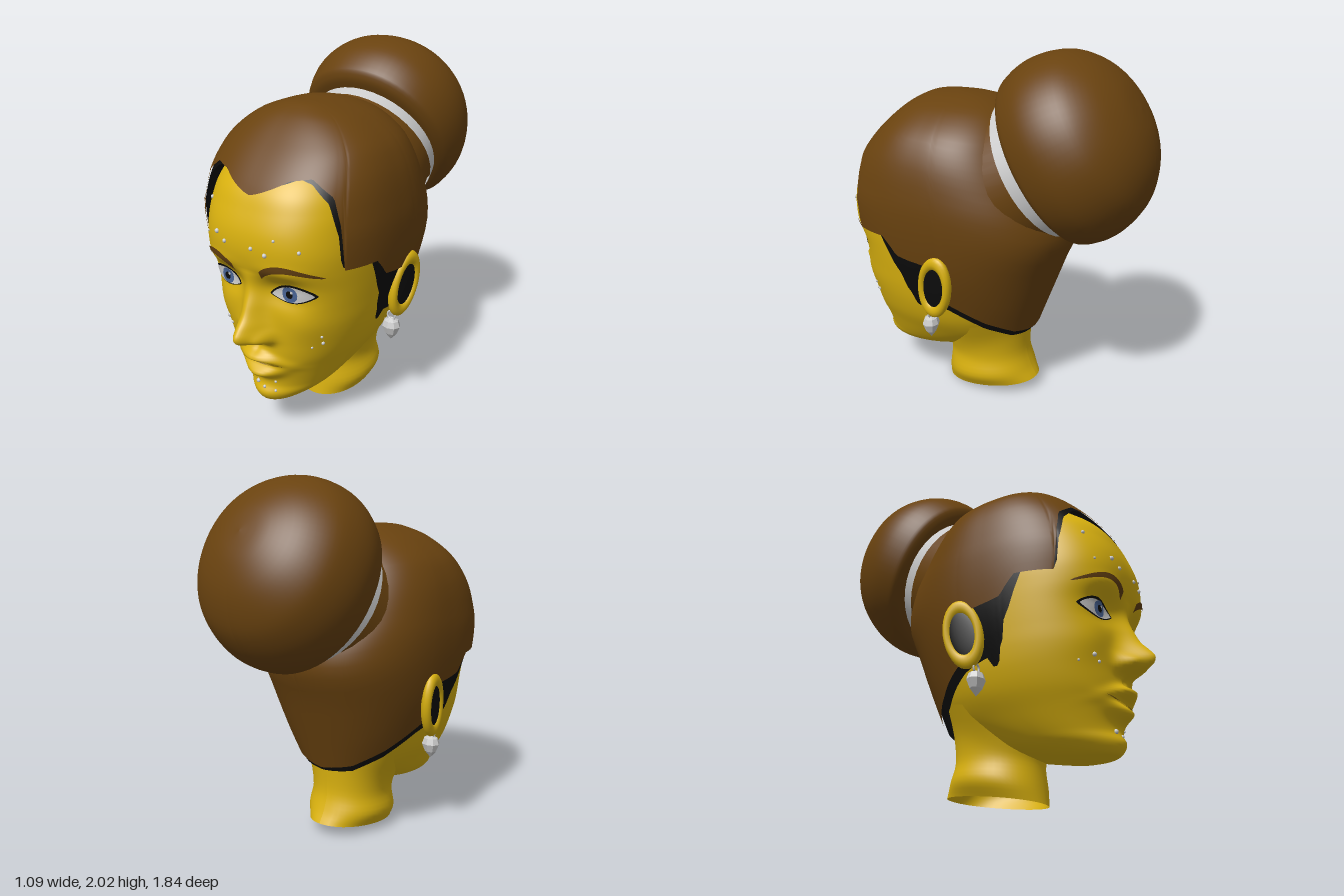
import * as THREE from 'three';

const mat = (color, side = THREE.FrontSide) => new THREE.MeshStandardMaterial({ color, side });
const skin = mat(0xd9b10f), hairMat = mat(0x69420f), black = mat(0x0c0c0c, THREE.DoubleSide);
const openSkin = mat(0xd9b10f, THREE.DoubleSide);
const grey = mat(0xcccccc, THREE.DoubleSide), white = mat(0xe8e8ea), blue = mat(0x4a6596), browMat = mat(0x5f3d10);
const lineMat = mat(0x8a690c);

// Cubic interpolation through rows [key, ...values]
function sample(rows, k) {
  const n = rows.length - 1;
  if (k <= rows[0][0]) return rows[0].slice(1);
  if (k >= rows[n][0]) return rows[n].slice(1);
  let i = 0;
  while (k > rows[i + 1][0]) i++;
  const slope = (j, c) => {
    const a = rows[Math.max(j - 1, 0)], b = rows[Math.min(j + 1, n)];
    return (b[c] - a[c]) / (b[0] - a[0]);
  };
  const p = rows[i], q = rows[i + 1], h = q[0] - p[0], t = (k - p[0]) / h;
  return p.slice(1).map((_, j) => {
    const c = j + 1, t2 = t * t, t3 = t2 * t;
    return (2 * t3 - 3 * t2 + 1) * p[c] + (t3 - 2 * t2 + t) * h * slope(i, c)
      + (3 * t2 - 2 * t3) * q[c] + (t3 - t2) * h * slope(i + 1, c);
  });
}
function linear(rows, k) {
  for (let i = 1; i < rows.length; i++) {
    const [a, ya] = rows[i - 1], [b, yb] = rows[i];
    if (k <= b) return ya + (yb - ya) * Math.max(0, (k - a) / (b - a));
  }
  return rows[rows.length - 1][1];
}

// Grid surface: u runs towards +x at the front, v runs upwards
function loft(name, nu, nv, f, material) {
  const pos = [], idx = [], c = nu + 1;
  for (let j = 0; j <= nv; j++) for (let i = 0; i <= nu; i++) pos.push(...f(i / nu, j / nv));
  for (let j = 0; j < nv; j++) for (let i = 0; i < nu; i++) {
    const a = j * c + i;
    idx.push(a, a + 1, a + c, a + 1, a + c + 1, a + c);
  }
  const g = new THREE.BufferGeometry();
  g.setAttribute('position', new THREE.Float32BufferAttribute(pos, 3));
  g.setIndex(idx);
  g.computeVertexNormals();
  return named(name, g, material);
}
function named(name, geometry, material) {
  const m = new THREE.Mesh(geometry, material);
  m.name = name;
  return m;
}
// Superellipse point at angle a from the front, with squareness n in front and nb behind
function ring(a, w, zf, zc, zb, n, nb = n) {
  const s = Math.sin(a), c = Math.cos(a), e = 2 / (c >= 0 ? n : nb);
  return [Math.sign(s) * w * Math.abs(s) ** e, zc + (c >= 0 ? zf - zc : zb - zc) * Math.abs(c) ** e];
}

// Head sections: y, half width, front z, widest z, back z, squareness
const HEAD = [
  [0.18, 0, 0.58, 0.58, 0.58, 2], [0.185, 0.06, 0.65, 0.56, 0.45, 2], [0.2, 0.12, 0.685, 0.5, 0.38, 2],
  [0.25, 0.2, 0.705, 0.42, 0.15, 2], [0.3, 0.245, 0.695, 0.36, 0, 2.05], [0.4, 0.31, 0.715, 0.28, -0.2, 2.15],
  [0.5, 0.368, 0.735, 0.22, -0.24, 2.3], [0.6, 0.405, 0.74, 0.2, -0.27, 2.45], [0.7, 0.427, 0.745, 0.2, -0.31, 2.6],
  [0.8, 0.44, 0.75, 0.2, -0.35, 2.7], [0.9, 0.45, 0.76, 0.2, -0.38, 2.8], [1, 0.457, 0.795, 0.2, -0.4, 2.8],
  [1.1, 0.46, 0.815, 0.2, -0.4, 2.8], [1.2, 0.455, 0.81, 0.2, -0.38, 2.75], [1.3, 0.445, 0.78, 0.2, -0.32, 2.7],
  [1.4, 0.42, 0.735, 0.2, -0.25, 2.6], [1.5, 0.37, 0.645, 0.2, -0.18, 2.4], [1.6, 0.26, 0.5, 0.2, -0.05, 2.2],
  [1.66, 0.03, 0.23, 0.2, 0.17, 2]];
// Nose: y, height, half width
const NOSE = [[0.57, 0, 0.075], [0.595, 0.045, 0.075], [0.62, 0.14, 0.075], [0.66, 0.17, 0.075], [0.7, 0.145, 0.07],
  [0.75, 0.1, 0.064], [0.8, 0.072, 0.06], [0.9, 0.03, 0.062], [1.0, 0, 0.07]];
const g = (d, s) => Math.exp(-((d / s) ** 2));
// Relief of the features
function relief(x, y) {
  const ax = Math.abs(x), [h, s] = sample(NOSE, y);
  return h * g(x, s)
    + 0.04 * g(ax - 0.08, 0.03) * g(y - 0.63, 0.035)
    + 0.062 * g(x, 0.12) * g(y - 0.497 + 1.3 * x * x, 0.028) + 0.058 * g(x, 0.12) * g(y - 0.393 - 1.5 * x * x, 0.035)
    - 0.008 * g(x, 0.14) * g(y - 0.45, 0.012) - 0.01 * g(x, 0.02) * g(y - 0.55, 0.03)
    + 0.015 * g(x, 0.1) * g(y - 0.25, 0.05)
    - 0.055 * g(ax - 0.18, 0.11) * g(y - 0.9, 0.075) + 0.025 * g(ax - 0.21, 0.085) * g(y - 0.89, 0.045)
    + 0.012 * g(ax - 0.2, 0.12) * g(y - 1.02, 0.04) + 0.012 * g(ax - 0.28, 0.09) * g(y - 0.72, 0.1);
}
function faceZ(x, y) {
  const [w, zf, zc, , n] = sample(HEAD, y);
  return zc + (zf - zc) * Math.max(0, 1 - Math.abs(x / w) ** n) ** (1 / n) + relief(x, y);
}
// Thin patch lying on the face between two curves lo(u) and hi(u)
function patch(name, side, x0, x1, lo, hi, off, material) {
  return loft(name, 24, 8, (u, v) => {
    const t = side < 0 ? 1 - u : u, x = side * (x0 + (x1 - x0) * t), y = lo(t) + (hi(t) - lo(t)) * v;
    return [x, y, faceZ(x, y) + off];
  }, material);
}
function disc(name, side, cx, cy, r, off, material) {
  const h = t => r * Math.sqrt(Math.max(0, 1 - (2 * t - 1) ** 2));
  return patch(name, side, cx - r, cx + r, t => cy - h(t), t => cy + h(t), off, material);
}

// Hair sections: y, half width, front z, back z
const HAIR = [[0.4, 0.32, 0.6, -0.275], [0.55, 0.4, 0.66, -0.325], [0.65, 0.44, 0.68, -0.36], [0.85, 0.5, 0.74, -0.43],
  [1.04, 0.53, 0.8, -0.5], [1.2, 0.538, 0.815, -0.46], [1.3, 0.53, 0.787, -0.4], [1.4, 0.515, 0.745, -0.34],
  [1.5, 0.485, 0.675, -0.28], [1.6, 0.425, 0.585, -0.22], [1.7, 0.295, 0.475, -0.12], [1.75, 0.165, 0.39, 0],
  [1.768, 0.08, 0.32, 0.1], [1.773, 0, 0.2, 0.2]];
// Hairlines: degrees from the front, y
const HAIRLINE = [[0, 1.38], [18, 1.465], [31, 1.48], [46, 1.4], [52, 1.25], [54, 1.04], [75, 1.04], [79, 0.99], [82, 0.94],
  [97, 0.9], [100, 0.68], [125, 0.55], [150, 0.46], [180, 0.42]];
const UNDERLINE = [[0, 1.4], [24, 1.475], [32, 1.455], [44, 1.37], [51, 1.22], [53, 1.05], [72, 1.05], [75, 0.97], [78, 0.88],
  [81, 0.82], [82, 0.74], [84, 0.7], [85, 0.64], [88, 0.6], [90, 0.66], [96, 0.64], [102, 0.62], [125, 0.5], [150, 0.42],
  [180, 0.4]];
function hairShell(name, line, inset, material) {
  return loft(name, 240, 26, (u, v) => {
    const a = (u * 2 - 1) * Math.PI, top = 1.773 - inset;
    const y = top - (top - linear(line, Math.abs(a) * 180 / Math.PI)) * (1 - v) ** 1.7;
    const [w, zf, zb] = sample(HAIR, y + inset * v);
    const [x, z] = ring(a, Math.max(0, w - inset), zf - inset * 0.5, 0.2, zb + inset, 2.55, 2.35);
    return [x, y, z];
  }, material);
}

export function createModel() {
  const model = new THREE.Group();
  model.name = 'head';

  // Face and skull, with columns packed towards the front
  model.add(loft('face', 160, 130, (u, v) => {
    const s = u * 2 - 1, a = Math.sign(s) * Math.PI * Math.abs(s) ** 1.5, y = 0.18 + 1.48 * v;
    const [w, zf, zc, zb, n] = sample(HEAD, y), [x, z] = ring(a, w, zf, zc, zb, n, 2.3);
    return [x, y, z + (Math.cos(a) > 0 && v > 0 ? relief(x, y) : 0)];
  }, skin));

  // Open neck with slanted cut: step, half width, front z, front y, back z, back y
  const NECK = [[0, 0.2, 0.27, 0.005, -0.3, 0.08], [0.25, 0.24, 0.26, 0.09, -0.26, 0.15], [0.5, 0.225, 0.25, 0.2, -0.23, 0.25],
    [0.75, 0.25, 0.255, 0.27, -0.235, 0.4], [1, 0.325, 0.25, 0.42, -0.25, 0.55]];
  model.add(loft('neck', 48, 16, (u, v) => {
    const [w, zf, yf, zb, yb] = sample(NECK, v), [x, z] = ring((u * 2 - 1) * Math.PI, w, zf, 0, zb, 2.1);
    return [x, yf + (yb - yf) * (zf - z) / (zf - zb), z];
  }, openSkin));

  // Hair cap and its dark underside
  model.add(hairShell('hair', HAIRLINE, 0, hairMat), hairShell('hairUnderside', UNDERLINE, 0.012, black));

  // Bun and band on a tilted axis
  const bun = new THREE.Group();
  bun.name = 'bun';
  bun.position.set(0.01, 1.42, -0.33);
  bun.rotation.x = -1.022;
  const profile = new THREE.SplineCurve([[0, 0], [0.37, 0.01], [0.47, 0.035], [0.5, 0.09], [0.51, 0.2], [0.482, 0.32],
    [0.42, 0.43], [0.3, 0.53], [0.15, 0.59], [0, 0.605]].map(p => new THREE.Vector2(...p))).getPoints(40);
  const bunHair = loft('bunHair', 64, 40, (u, v) => {
    const p = profile[Math.round(v * 40)], r = Math.max(0, p.x);
    const [x, z] = ring((u * 2 - 1) * Math.PI, r * (0.92 + 0.17 * p.y), r, 0, -r, 2.1);
    return [x, p.y, z + 0.05 * p.y];
  }, hairMat);
  const band = named('band', new THREE.CylinderGeometry(0.395, 0.405, 0.085, 40, 1, true), grey);
  band.position.y = -0.01;
  const base = named('bunBase', new THREE.CylinderGeometry(0.385, 0.43, 0.26, 40, 1, true), hairMat);
  base.position.y = -0.13;
  bun.add(bunHair, band, base);
  model.add(bun);

  const arch = t => Math.sin(Math.PI * t);
  for (const s of [1, -1]) {
    const side = s > 0 ? 'left' : 'right';
    // Eye
    const lid = t => 0.88 + 0.012 * t;
    model.add(
      patch(side + 'EyeLiner', s, 0.095, 0.335, t => lid(t) - 0.044 * arch(t) ** 0.8, t => lid(t) + 0.062 * arch(t) ** 0.7, 0.003, black),
      patch(side + 'EyeWhite', s, 0.105, 0.322, t => lid(t) - 0.038 * arch(t) ** 0.8, t => lid(t) + 0.049 * arch(t) ** 0.7, 0.006, white),
      disc(side + 'Iris', s, 0.203, 0.892, 0.043, 0.009, blue),
      disc(side + 'Pupil', s, 0.203, 0.892, 0.02, 0.012, black),
      disc(side + 'EyeGlint', s, 0.203 + s * 0.014, 0.907, 0.008, 0.014, white));
    // Eyebrow
    const brow = t => 0.995 + 0.055 * Math.sin(Math.PI * t ** 0.85) + 0.002 * t;
    model.add(patch(side + 'Eyebrow', s, 0.085, 0.375, t => brow(t) - 0.022 * (1 - t) ** 0.5,
      t => brow(t) + 0.022 * (1 - t) ** 0.4, 0.007, browMat));
    // Ear flaring out at the back: rim, back and dark hollow
    const ear = new THREE.Group();
    ear.name = side + 'Ear';
    ear.position.set(s * 0.496, 0.79, 0.095);
    ear.rotation.set(-0.2, -s * 0.15, -s * 0.1);
    const rim = named('earRim', new THREE.TorusGeometry(0.086, 0.023, 12, 40), skin);
    rim.rotation.y = Math.PI / 2;
    rim.scale.set(1, 1.75, 1.2);
    const back = named('earBack', new THREE.SphereGeometry(1, 24, 16), skin);
    back.scale.set(0.03, 0.165, 0.092);
    back.position.x = -s * 0.02;
    const hollow = named('earHollow', new THREE.SphereGeometry(1, 24, 16), black);
    hollow.scale.set(0.012, 0.145, 0.08);
    hollow.position.x = s * 0.008;
    ear.add(rim, back, hollow);
    model.add(ear);
    // Earring: hoop and faceted drop
    const earring = new THREE.Group();
    earring.name = side + 'Earring';
    earring.position.set(s * 0.455, 0.46, 0.15);
    const gemShape = [[0, 0], [0.035, 0.04], [0.054, 0.085], [0.042, 0.118], [0.015, 0.13], [0, 0.122]].map(p => new THREE.Vector2(...p));
    const gemGeo = new THREE.LatheGeometry(gemShape, 8).toNonIndexed();
    gemGeo.computeVertexNormals();
    const drop = named('drop', gemGeo, grey);
    drop.scale.z = 0.85;
    const hoop = named('hoop', new THREE.TorusGeometry(0.024, 0.006, 8, 16), grey);
    hoop.position.y = 0.148;
    earring.add(drop, hoop);
    model.add(earring);
  }

  // Line between the lips
  const mouth = t => 0.446 + 0.014 * Math.abs(2 * t - 1) ** 2;
  model.add(patch('mouthLine', 1, -0.16, 0.16, t => mouth(t) - 0.005 * arch(t), t => mouth(t) + 0.004 * arch(t), 0.002, lineMat));

  // Studs scattered on the face: x, y, radius
  const studs = [[-0.3, 1.3, 0.011], [-0.185, 1.17, 0.013], [-0.125, 1.135, 0.011], [-0.29, 1.135, 0.007], [0.05, 1.135, 0.011],
    [0.13, 1.115, 0.012], [0.175, 1.195, 0.008], [0.29, 1.145, 0.01], [-0.235, 0.64, 0.012], [-0.205, 0.61, 0.009],
    [-0.29, 0.605, 0.007], [0.32, 0.645, 0.008], [0.315, 0.6, 0.01], [0.275, 0.58, 0.007], [-0.045, 0.3, 0.013],
    [0.005, 0.285, 0.009], [0.07, 0.33, 0.008], [0.07, 0.275, 0.008]];
  for (const [x, y, r] of studs) {
    const stud = named('stud', new THREE.SphereGeometry(r, 10, 8), grey);
    stud.position.set(x, y, faceZ(x, y));
    model.add(stud);
  }
  return model;
}
